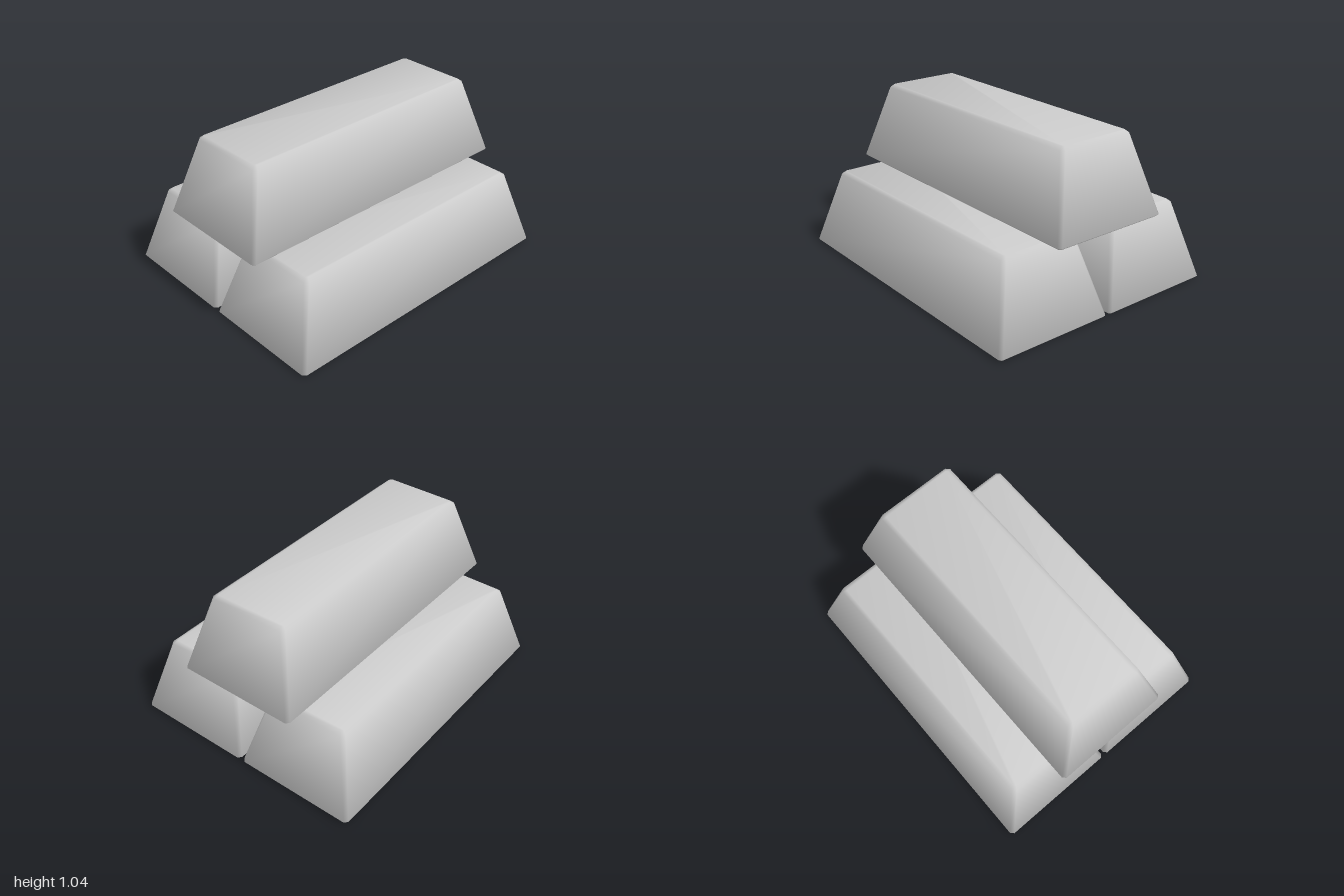
import * as THREE from 'three';

// Bar cross-sections from bottom to top: height, half length, half depth, corner cut
const RINGS = [
  [0, 0.985, 0.38, 0.012],
  [0.014, 1.0, 0.395, 0.02],
  [0.495, 0.86, 0.265, 0.022],
  [0.515, 0.835, 0.24, 0.012],
];

// Softens shading by averaging the unit normals of all faces meeting at a vertex
function softenNormals(geometry) {
  const flat = geometry.toNonIndexed();
  flat.computeVertexNormals();
  const faceNormals = flat.attributes.normal;
  const sums = Array.from({ length: geometry.attributes.position.count }, () => new THREE.Vector3());
  const n = new THREE.Vector3();
  geometry.index.array.forEach((v, i) => sums[v].add(n.fromBufferAttribute(faceNormals, i)));
  const normals = sums.flatMap((s) => s.normalize().toArray());
  geometry.setAttribute('normal', new THREE.Float32BufferAttribute(normals, 3));
}

// Tapered bar with bevelled edges, lofted through eight-sided rings
function barGeometry() {
  const positions = [];
  const index = [];
  for (const [y, x, z, c] of RINGS) {
    const outline = [
      [x, z - c], [x, c - z], [x - c, -z], [c - x, -z],
      [-x, c - z], [-x, z - c], [c - x, z], [x - c, z],
    ];
    for (const [px, pz] of outline) positions.push(px, y, pz);
  }
  // Sides and bevels
  for (let r = 0; r < RINGS.length - 1; r++) {
    for (let i = 0; i < 8; i++) {
      const a = r * 8 + i;
      const b = r * 8 + ((i + 1) % 8);
      index.push(a, b, b + 8, a, b + 8, a + 8);
    }
  }
  // Flat bottom and top
  const top = (RINGS.length - 1) * 8;
  for (let i = 1; i < 7; i++) {
    index.push(0, i + 1, i);
    index.push(top, top + i, top + i + 1);
  }
  const geometry = new THREE.BufferGeometry();
  geometry.setAttribute('position', new THREE.Float32BufferAttribute(positions, 3));
  geometry.setIndex(index);
  softenNormals(geometry);
  return geometry;
}

export function createModel() {
  const group = new THREE.Group();
  group.name = 'barStack';
  const geometry = barGeometry();
  const material = new THREE.MeshStandardMaterial({ color: 0xcccccc });

  // Two bars side by side, a third resting across the gap
  const bars = [
    ['frontBar', 0, 0.404],
    ['backBar', 0, -0.404],
    ['topBar', 0.525, 0],
  ];
  for (const [name, y, z] of bars) {
    const bar = new THREE.Mesh(geometry, material);
    bar.name = name;
    bar.position.set(0, y, z);
    group.add(bar);
  }
  return group;
}
